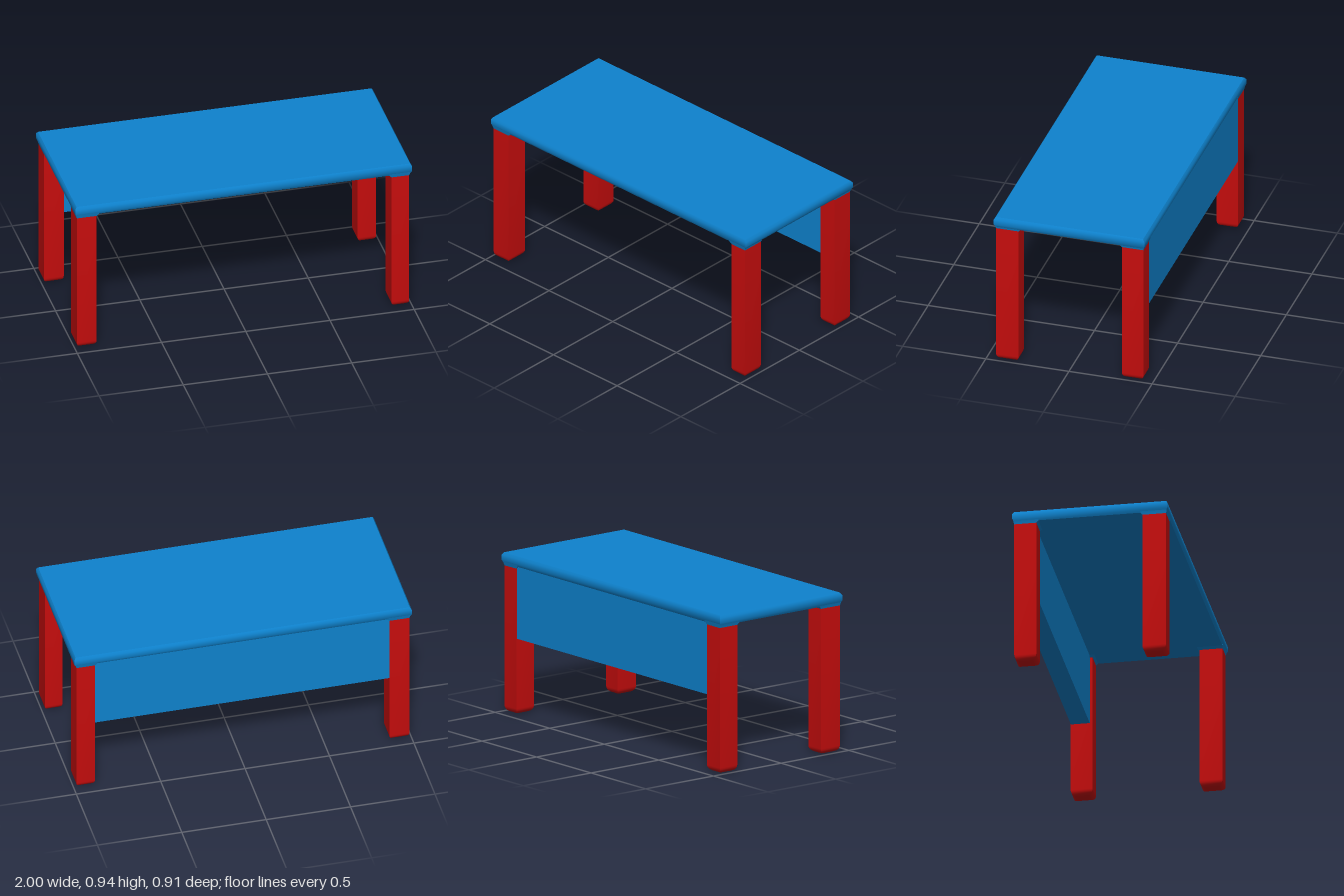
import * as THREE from 'three';
import { toCreasedNormals } from 'three/addons/utils/BufferGeometryUtils.js';

const blue = new THREE.MeshStandardMaterial({ color: 0x0e82cd });
const red = new THREE.MeshStandardMaterial({ color: 0xc80d0d });

// Closed solid through rectangular layers [y, x0, x1, z0, z1], bottom to top
function loft(name, layers, material) {
  const pos = [], idx = [];
  for (const [y, x0, x1, z0, z1] of layers) {
    pos.push(x0, y, z1, x1, y, z1, x1, y, z0, x0, y, z0);
  }
  for (let l = 0; l < layers.length - 1; l++) {
    for (let i = 0; i < 4; i++) {
      const a = l * 4 + i, b = l * 4 + (i + 1) % 4;
      idx.push(a, b, b + 4, a, b + 4, a + 4);
    }
  }
  const t = (layers.length - 1) * 4;
  idx.push(0, 2, 1, 0, 3, 2, t, t + 1, t + 2, t, t + 2, t + 3);
  const geo = new THREE.BufferGeometry();
  geo.setAttribute('position', new THREE.Float32BufferAttribute(pos, 3));
  geo.setIndex(idx);
  const mesh = new THREE.Mesh(toCreasedNormals(geo, 0.6), material);
  mesh.name = name;
  return mesh;
}

export function createModel() {
  const group = new THREE.Group();
  group.name = 'desk';

  // Tabletop with bevelled rim
  const rim = [[0.877, 0.99, 0.443], [0.895, 1, 0.453], [0.925, 1, 0.453], [0.94, 0.99, 0.443]];
  group.add(loft('tabletop', rim.map(([y, x, z]) => [y, -x, x, -z, z]), blue));

  // Legs with rounded feet, each under a flared bracket: x0, x1, z0, z1
  const legs = {
    frontRight: [-0.988, -0.87, 0.305, 0.443],
    frontLeft: [0.88, 0.985, 0.308, 0.443],
    backRight: [-0.988, -0.87, -0.443, -0.314],
    backLeft: [0.875, 0.985, -0.443, -0.314],
  };
  const foot = 0.035;
  for (const [name, [x0, x1, z0, z1]] of Object.entries(legs)) {
    const layers = [];
    for (let i = 0; i <= 5; i++) {
      const a = (i / 5) * Math.PI / 2;
      const d = foot * (1 - Math.sin(a));
      layers.push([foot * (1 - Math.cos(a)), x0 + d, x1 - d, z0 + d, z1 - d]);
    }
    layers.push([0.866, x0, x1, z0, z1]);
    group.add(loft(name + 'Leg', layers, red));

    // Flare the bracket a little outward and more toward the middle
    const grow = (lo, hi, out, inn) => (lo + hi > 0 ? [lo - inn, hi + out] : [lo - out, hi + inn]);
    group.add(loft(name + 'Bracket', [
      [0.864, x0, x1, z0, z1],
      [0.879, ...grow(x0, x1, 0.004, 0.014), ...grow(z0, z1, 0.004, 0.014)],
      [0.895, ...grow(x0, x1, 0.01, 0.014), ...grow(z0, z1, 0.008, 0.014)],
    ], blue));
  }

  // Modesty panel between the back legs
  const panel = new THREE.Mesh(new THREE.BoxGeometry(1.745, 0.44, 0.11), blue);
  panel.name = 'backPanel';
  panel.position.set(0.0025, 0.67, -0.386);
  group.add(panel);

  return group;
}
